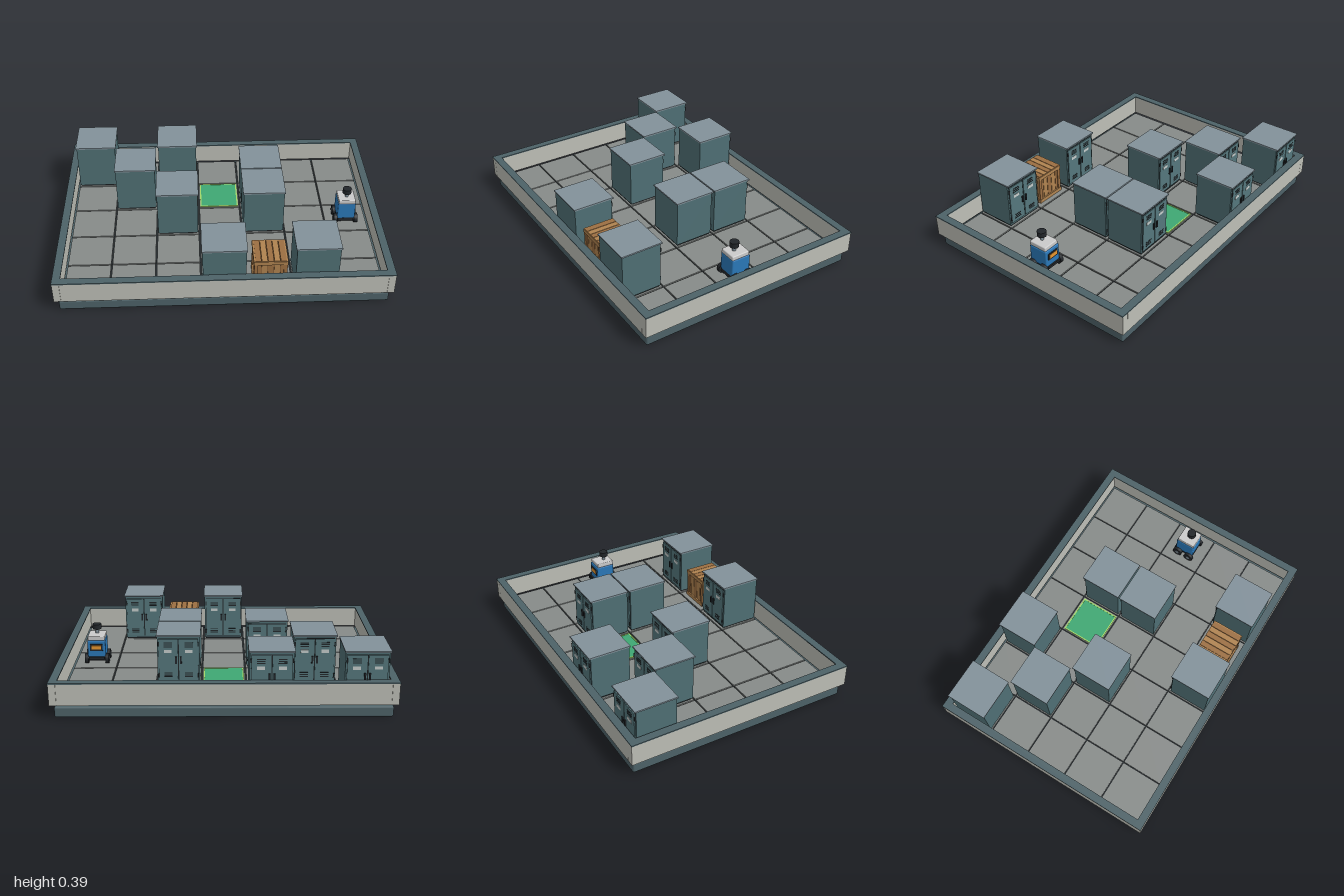
import * as THREE from 'three';
import { RoundedBoxGeometry } from 'three/addons/geometries/RoundedBoxGeometry.js';

const CELL = 0.272, FLOOR = 0.08;
const mat = (color) => new THREE.MeshStandardMaterial({ color });
const M = {
  slate: mat(0x4d6268), wall: mat(0xbdbeb6), tile: mat(0x878b89), dark: mat(0x23282b),
  steel: mat(0x4f6f74), door: mat(0x55777c), lid: mat(0x82919a), plate: mat(0xc4cccb),
  wood: mat(0x9c6f42), woodLight: mat(0xb08350), woodDark: mat(0x6e4b2b),
  green: mat(0x3fa873), lime: mat(0xa5d86a), blue: mat(0x2a78b8), white: mat(0xd4d6d4),
  black: mat(0x22262a), orange: mat(0xe8962e),
};

function add(parent, name, geometry, material, x, y, z) {
  const mesh = new THREE.Mesh(geometry, material);
  mesh.name = name;
  mesh.position.set(x, y, z);
  parent.add(mesh);
  return mesh;
}
const box = (p, name, m, w, h, d, x, y, z) => add(p, name, new THREE.BoxGeometry(w, h, d), m, x, y, z);

function group(parent, name, col, row) {
  const g = new THREE.Group();
  g.name = name;
  g.position.set((col - 3) * CELL, FLOOR, (row - 2) * CELL);
  parent.add(g);
  return g;
}

// Plinth, tiled floor and surrounding wall
function buildArena(root) {
  add(root, 'base', new RoundedBoxGeometry(1.95, 0.065, 1.41, 2, 0.01), M.slate, 0, 0.0325, 0);
  box(root, 'floorBed', M.dark, 1.89, 0.008, 1.35, 0, 0.068, 0);
  for (let c = 0; c < 7; c++) for (let r = 0; r < 5; r++)
    box(root, 'floorTile', M.tile, CELL - 0.009, 0.015, CELL - 0.009, (c - 3) * CELL, FLOOR - 0.0075, (r - 2) * CELL);
  for (const s of [-1, 1]) {
    box(root, 'longWall', M.wall, 1.91, 0.131, 0.042, 0, 0.1485, s * 0.703);
    box(root, 'shortWall', M.wall, 0.042, 0.131, 1.448, s * 0.977, 0.1485, 0);
    box(root, 'longWallCap', M.slate, 2, 0.007, 0.048, 0, 0.2165, s * 0.701);
    box(root, 'shortWallCap', M.slate, 0.048, 0.007, 1.354, s * 0.976, 0.2165, 0);
  }
}

// Two-door locker with its doors on the -z side
function buildCabinet(root, col, row) {
  const g = group(root, 'cabinet', col, row);
  box(g, 'plinth', M.dark, 0.24, 0.014, 0.236, 0, 0.007, 0.002);
  box(g, 'body', M.steel, 0.254, 0.292, 0.248, 0, 0.157, 0.003);
  box(g, 'lid', M.lid, 0.265, 0.009, 0.264, 0, 0.3075, 0);
  box(g, 'doorGap', M.dark, 0.236, 0.27, 0.002, 0, 0.155, -0.1215);
  for (const s of [-1, 1]) {
    box(g, 'door', M.door, 0.113, 0.262, 0.006, s * 0.06, 0.155, -0.125);
    for (let i = 0; i < 3; i++) {
      box(g, 'upperVent', M.dark, 0.05, 0.006, 0.002, s * 0.062, 0.264 - i * 0.012, -0.1285);
      box(g, 'lowerVent', M.dark, 0.05, 0.006, 0.002, s * 0.062, 0.072 - i * 0.012, -0.1285);
    }
    box(g, 'labelPlate', M.plate, 0.045, 0.02, 0.002, s * 0.062, 0.21, -0.1285);
    box(g, 'handle', M.black, 0.011, 0.045, 0.008, s * 0.014, 0.156, -0.131);
    for (const y of [0.055, 0.255])
      box(g, 'hinge', M.dark, 0.008, 0.026, 0.007, s * 0.118, y, -0.126);
  }
}

// Slatted wooden crate
function buildCrate(root, col, row) {
  const g = group(root, 'crate', col, row);
  box(g, 'core', M.woodDark, 0.174, 0.186, 0.174, 0, 0.097, 0);
  for (let i = 0; i < 5; i++) {
    const o = (i - 2) * 0.037, m = i % 2 ? M.woodLight : M.wood;
    box(g, 'topSlat', m, 0.034, 0.01, 0.196, o, 0.195, 0);
    for (const s of [-1, 1]) {
      box(g, 'frontSlat', m, 0.034, 0.18, 0.006, o, 0.1, s * 0.089);
      box(g, 'sideSlat', m, 0.006, 0.18, 0.034, s * 0.089, 0.1, o);
    }
  }
  for (const s of [-1, 1]) {
    for (const t of [-1, 1])
      box(g, 'cornerPost', M.wood, 0.022, 0.19, 0.022, s * 0.087, 0.095, t * 0.087);
    for (const y of [0.013, 0.184]) {
      box(g, 'frontRail', M.woodLight, 0.2, 0.024, 0.012, 0, y, s * 0.095);
      box(g, 'sideRail', M.woodLight, 0.012, 0.024, 0.178, s * 0.095, y, 0);
    }
  }
}

// Small wheeled robot looking towards -z
function buildRobot(root, col, row) {
  const g = group(root, 'robot', col, row);
  g.position.x -= 0.004;
  box(g, 'chassis', M.black, 0.1, 0.03, 0.12, 0, 0.035, 0);
  add(g, 'body', new RoundedBoxGeometry(0.114, 0.115, 0.126, 2, 0.008), M.blue, 0, 0.1, 0);
  add(g, 'deck', new RoundedBoxGeometry(0.108, 0.03, 0.12, 2, 0.006), M.white, 0, 0.17, 0.003);
  add(g, 'neck', new THREE.CylinderGeometry(0.011, 0.011, 0.034, 16), M.lid, 0, 0.2, 0.014);
  add(g, 'head', new THREE.CylinderGeometry(0.028, 0.028, 0.032, 24), M.black, 0, 0.23, 0.014);
  box(g, 'facePanel', M.black, 0.08, 0.045, 0.004, 0, 0.112, -0.064);
  box(g, 'display', M.orange, 0.06, 0.026, 0.004, 0, 0.112, -0.066);
  box(g, 'bumper', M.black, 0.1, 0.016, 0.012, 0, 0.042, -0.066);
  for (const s of [-1, 1]) for (const t of [-1, 1]) {
    const wheel = new THREE.CylinderGeometry(0.032, 0.032, 0.022, 20).rotateZ(Math.PI / 2);
    add(g, 'wheel', wheel, M.black, s * 0.065, 0.032, t * 0.042);
    const hub = new THREE.CylinderGeometry(0.013, 0.013, 0.026, 16).rotateZ(Math.PI / 2);
    add(g, 'hub', hub, M.lid, s * 0.065, 0.032, t * 0.042);
  }
}

// Green goal tile with a bright border
function buildGoal(root, col, row) {
  const g = group(root, 'goal', col, row);
  box(g, 'goalPad', M.green, 0.24, 0.004, 0.24, 0, 0.002, 0);
  for (const s of [-1, 1]) {
    box(g, 'goalBorder', M.lime, 0.25, 0.006, 0.008, 0, 0.003, s * 0.121);
    box(g, 'goalBorder', M.lime, 0.008, 0.006, 0.234, s * 0.121, 0.003, 0);
  }
}

export function createModel() {
  const root = new THREE.Group();
  root.name = 'warehouseBoard';
  buildArena(root);
  const cabinets = [[0, 0], [2, 0], [1, 1], [4, 1], [2, 2], [4, 2], [3, 4], [5, 4]];
  for (const [c, r] of cabinets) buildCabinet(root, c, r);
  buildGoal(root, 3, 1);
  buildCrate(root, 4, 4);
  buildRobot(root, 6, 2);
  return root;
}
